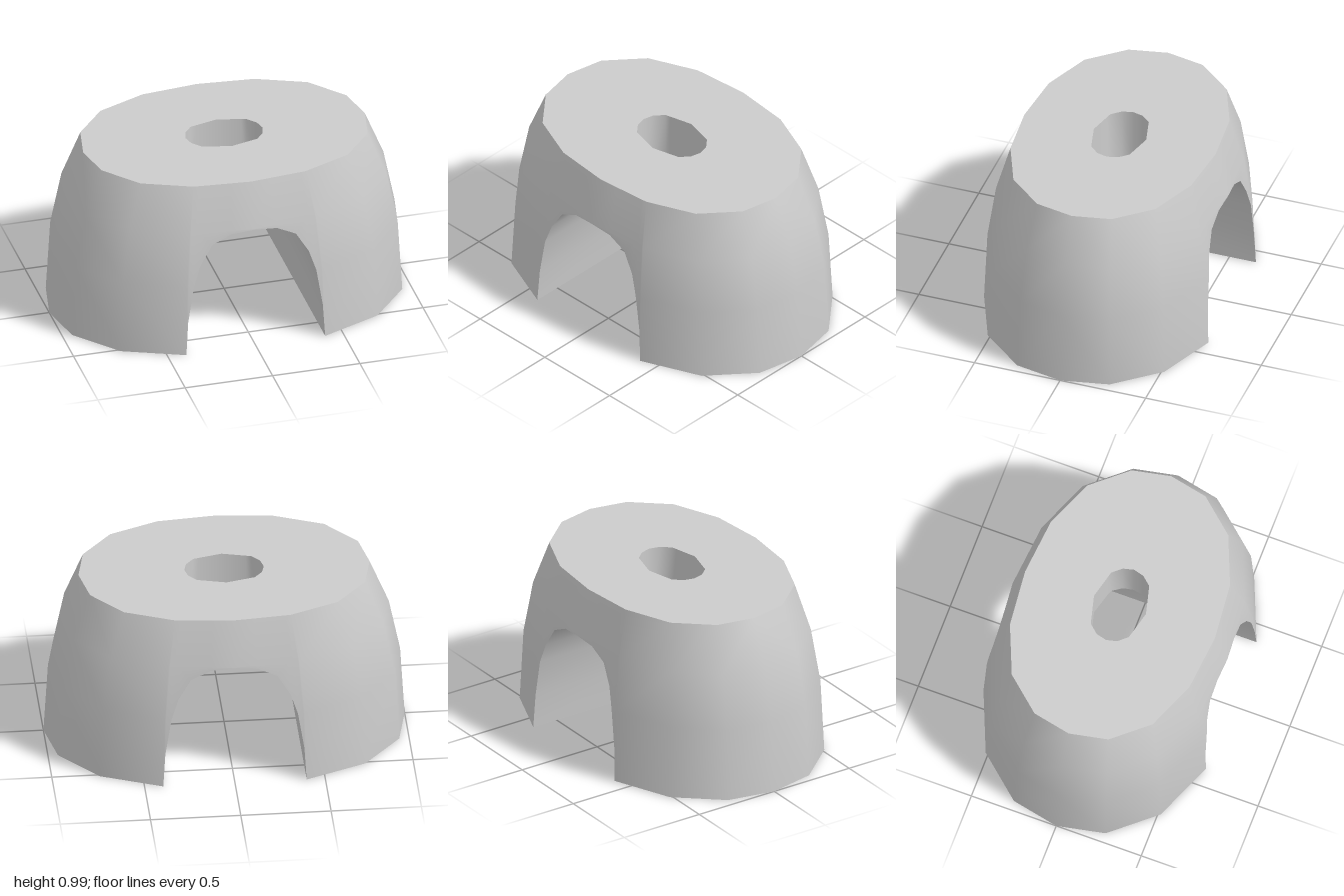
import * as THREE from 'three';
import { toCreasedNormals } from 'three/addons/utils/BufferGeometryUtils.js';

const TOP = 0.99;
const LEVELS = [0, 0.42, 0.73, TOP];

// Piecewise-linear lookup in a list of [input, output] pairs
function lookup(pts, v) {
  for (let i = 1; i < pts.length; i++) {
    const [a, fa] = pts[i - 1], [b, fb] = pts[i];
    if (v <= b) return fa + (fb - fa) * (v - a) / (b - a);
  }
  return pts[pts.length - 1][1];
}

// Base outline (x, z) of one quarter, and its shrink factor with height
const RING = [[0, 0.693], [0.397, 0.655], [0.735, 0.515], [0.945, 0.27], [1, 0]];
const TAPER = [[0, 1], [0.42, 0.975], [0.73, 0.912], [TOP, 0.806]];
// Arch opening (x, y) from crown to foot, and the quarter outline (x, z) of the top hole
const ARCH = [[0, 0.725], [0.13, 0.71], [0.16, 0.695], [0.205, 0.673], [0.22, 0.665],
  [0.24, 0.655], [0.31, 0.54], [0.35, 0.42], [0.385, 0.2], [0.397, 0]];
const HOLE = [[0, 0.153], [0.16, 0.112], [0.205, 0.06], [0.22, 0]];

const scaleAt = y => lookup(TAPER, y);
const holeZ = x => lookup(HOLE, x);
// Point on the outer surface at base position u and height y
function outer(u, y) {
  const s = scaleAt(y);
  return [u * s, y, lookup(RING, u) * s];
}

// Mirrors a quarter grid of points into all four quadrants and makes a mesh
function mirroredGrid(name, grid, material) {
  const pos = [];
  const p = new THREE.Vector3(), q = new THREE.Vector3(), r = new THREE.Vector3();
  const tri = (a, b, c) => {
    p.fromArray(a);
    q.fromArray(b).sub(p);
    r.fromArray(c).sub(p);
    if (q.cross(r).length() < 1e-7) return;
    for (const sx of [1, -1]) for (const sz of [1, -1]) {
      const corners = sx * sz > 0 ? [a, b, c] : [a, c, b];
      for (const v of corners) pos.push(v[0] * sx, v[1], v[2] * sz);
    }
  };
  for (let i = 0; i < grid.length - 1; i++) {
    for (let j = 0; j < grid[i].length - 1; j++) {
      const a = grid[i][j], b = grid[i + 1][j], c = grid[i + 1][j + 1], d = grid[i][j + 1];
      tri(a, b, c);
      tri(a, c, d);
    }
  }
  const geo = new THREE.BufferGeometry();
  geo.setAttribute('position', new THREE.Float32BufferAttribute(pos, 3));
  const mesh = new THREE.Mesh(toCreasedNormals(geo, 0.75), material);
  mesh.name = name;
  return mesh;
}

export function createModel() {
  const group = new THREE.Group();
  group.name = 'archedBlock';
  const material = new THREE.MeshStandardMaterial({ color: 0xcccccc });
  const add = (name, grid) => group.add(mirroredGrid(name, grid, material));

  // Columns round a quarter: over the arch, then round the leg
  const columns = [
    ...ARCH.map(([x, y]) => ({ x, u: x / scaleAt(y), y })),
    ...RING.slice(2).map(([u]) => ({ x: u, u, y: 0 })),
  ];

  // Tapered outer wall, cut off below by the arch
  add('outerWall', columns.map(c => LEVELS.map(l => outer(c.u, Math.max(c.y, l)))));

  // Flat top between the outline and the hole
  add('topFace', columns.map(c => {
    return [outer(c.u, TOP), [Math.min(c.x, 0.22), TOP, holeZ(c.x)]];
  }));

  // Arched tunnel from front to back, pierced by the hole
  add('archTunnel', ARCH.map(([x, y], i) => [[x, y, holeZ(x)], outer(columns[i].u, y)]));

  // Wall of the hole from the top face to the tunnel ceiling
  add('holeWall', ARCH.slice(0, 5).map(([x, y]) => [[x, TOP, holeZ(x)], [x, y, holeZ(x)]]));

  // Undersides of the two legs
  add('legBottoms', RING.slice(1).map(([x, z]) => [[x, 0, 0], [x, 0, z]]));

  return group;
}
